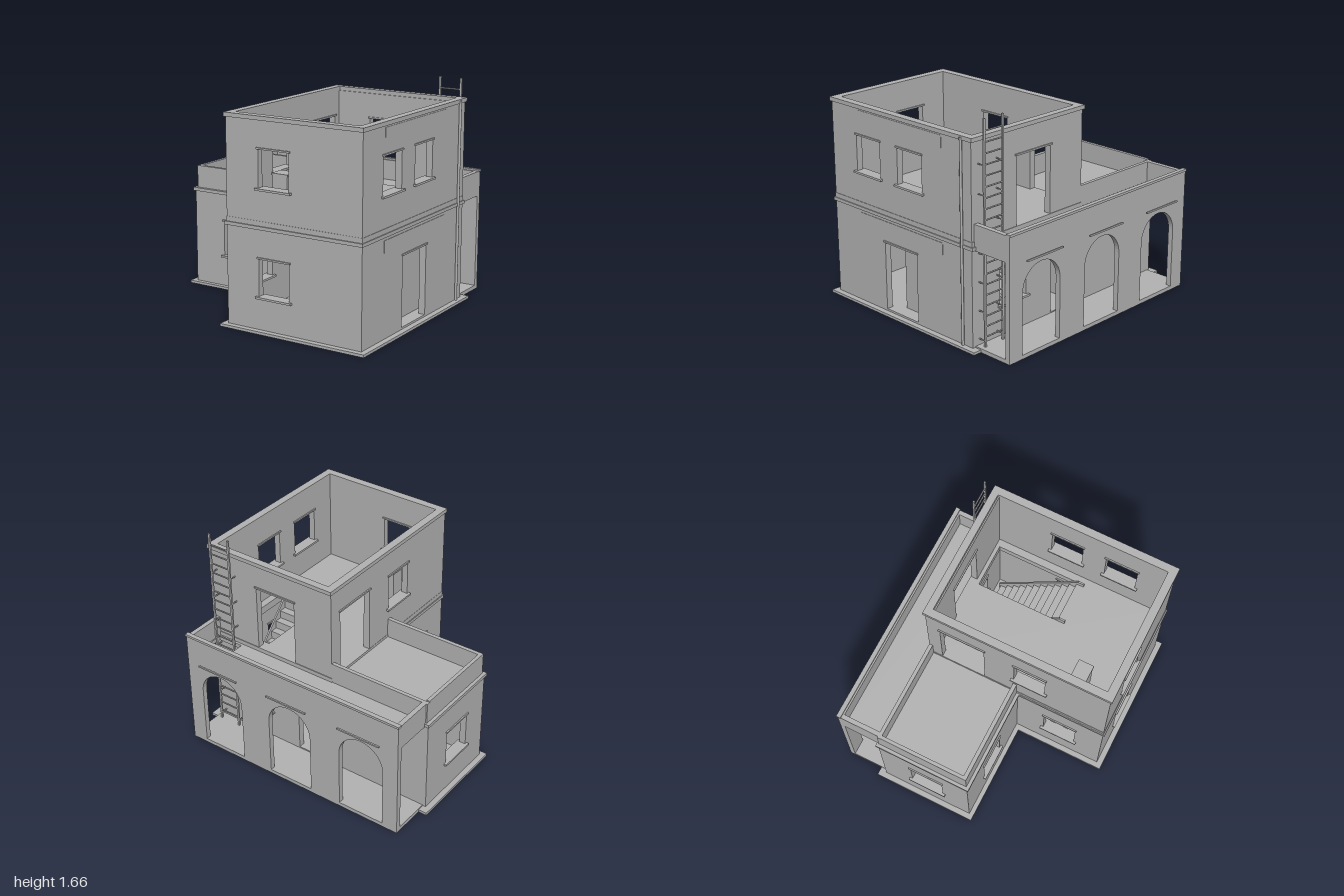
import * as THREE from 'three';

export function createModel() {
  const model = new THREE.Group();
  model.name = 'house';
  const plaster = new THREE.MeshStandardMaterial({ color: 0xb2b2b2 });
  plaster.name = 'grey plaster';

  const add = (name, geo, parent = model) => {
    const m = new THREE.Mesh(geo, plaster);
    m.name = name;
    parent.add(m);
    return m;
  };
  const box = (name, x0, x1, y0, y1, z0, z1) =>
    add(name, new THREE.BoxGeometry(x1 - x0, y1 - y0, z1 - z0)
      .translate((x0 + x1) / 2, (y0 + y1) / 2, (z0 + z1) / 2));
  const rod = (name, r, h, x, y, z, turn) => {
    const g = new THREE.CylinderGeometry(r, r, h, 8);
    if (turn === 'x') g.rotateZ(Math.PI / 2);
    if (turn === 'z') g.rotateX(Math.PI / 2);
    return add(name, g.translate(x, y, z));
  };
  const path = (P, pts) => new P(pts.map(p => new THREE.Vector2(...p)));
  const rect = (P, a, b, c, d) => path(P, [[a, c], [b, c], [b, d], [a, d]]);
  const extrude = (shape, depth) =>
    new THREE.ExtrudeGeometry(shape, { depth, bevelEnabled: false, curveSegments: 12 });

  // Horizontal plate from an outline in x and z, with rectangular holes
  const slab = (name, pts, y0, y1, holes = []) => {
    const s = path(THREE.Shape, pts);
    holes.forEach(h => s.holes.push(rect(THREE.Path, ...h)));
    return add(name, extrude(s, y1 - y0).rotateX(Math.PI / 2).translate(0, y1, 0));
  };
  const corners = (x0, x1, z0, z1) => [[x0, z0], [x1, z0], [x1, z1], [x0, z1]];

  // Upright wall along x or z; openings are [from, to, bottom, top, hasSill]
  const T = 0.05;
  const wall = (name, axis, u0, u1, y0, y1, p, openings = []) => {
    const s = rect(THREE.Shape, u0, u1, y0, y1);
    const trim = (part, a, b, c, d, out) => axis === 'x'
      ? box(part, a, b, c, d, p - out, p + T + out)
      : box(part, p - out, p + T + out, c, d, a, b);
    openings.forEach(([a, b, c, d, sill]) => {
      s.holes.push(rect(THREE.Path, a, b, c, d));
      trim('lintel', a - 0.012, b + 0.012, d, d + 0.012, 0.01);
      if (sill) trim('windowSill', a - 0.022, b + 0.022, c - 0.015, c, 0.02);
    });
    const g = extrude(s, T);
    if (axis === 'x') g.translate(0, 0, p);
    else g.rotateY(-Math.PI / 2).translate(p + T, 0, 0);
    return add(name, g);
  };
  const low = (a, b) => [a, b, 0.26, 0.53, true];
  const high = (a, b) => [a, b, 1.03, 1.3, true];
  const lowDoor = (a, b) => [a, b, 0.035, 0.555, false];
  const highDoor = (a, b) => [a, b, 0.8, 1.31, false];

  // Foundation and ground floor
  slab('foundation', [[-1, -0.61], [1, -0.61], [1, 0.92], [-0.18, 0.92], [-0.18, 0.21], [-1, 0.21]], 0, 0.02);
  box('verandaFloor', -0.935, 0.935, 0, 0.03, -0.885, -0.56);
  box('towerGroundFloor', -0.13, 0.95, 0.02, 0.035, -0.55, 0.87);
  box('wingGroundFloor', -0.95, -0.13, 0.02, 0.035, -0.55, 0.17);

  // Tower walls, both storeys
  const L = -0.138, R = 0.957, B = -0.555, F = 0.877;
  const stairHole = [0.5, 0.85, -0.475, 0.245];
  wall('towerLowerFront', 'x', L, R, 0.02, 0.74, F - T, [low(0.13, 0.38)]);
  wall('towerLowerBack', 'x', L, R, 0.02, 0.74, B, [lowDoor(-0.18 + T + 0.045, 0.175), low(0.43, 0.69)]);
  wall('towerLowerRight', 'z', B + T, F - T, 0.02, 0.74, R - T, [lowDoor(0, 0.335)]);
  wall('towerLowerLeft', 'z', B + T, F - T, 0.02, 0.74, L, [low(0.4, 0.66)]);
  wall('towerUpperFront', 'x', L, R, 0.79, 1.5, F - T, [high(0.13, 0.38)]);
  wall('towerUpperBack', 'x', L, R, 0.79, 1.5, B, [highDoor(0.19, 0.53)]);
  wall('towerUpperRight', 'z', B + T, F - T, 0.79, 1.5, R - T, [high(-0.07, 0.18), high(0.365, 0.615)]);
  wall('towerUpperLeft', 'z', B + T, F - T, 0.79, 1.5, L, [highDoor(-0.45, -0.1), high(0.14, 0.385)]);
  slab('storeyBand', corners(-0.148, 0.967, -0.57, 0.89), 0.74, 0.765, [stairHole]);
  slab('upperFloor', corners(-0.14, 0.96, -0.56, 0.88), 0.765, 0.8, [stairHole]);
  slab('cornice', corners(-0.148, 0.967, -0.57, 0.89), 1.5, 1.53, [[L + T, R - T, B + T - 0.01, F - T]]);

  // Shallow panels above the right-hand openings
  for (const y of [0.63, 1.4]) box('signPanel', R - 0.002, R + 0.003, y, y + 0.088, -0.27, 0.595);

  // Side wing with roof terrace
  wall('wingFront', 'x', -0.957, L, 0.02, 0.74, 0.125, [low(-0.69, -0.44)]);
  wall('wingBack', 'x', -0.957, L, 0.02, 0.74, B);
  wall('wingSide', 'z', B + T, 0.125, 0.02, 0.74, -0.957, [low(-0.305, -0.045)]);
  box('wingBand', -0.97, -0.14, 0.74, 0.765, -0.57, 0.19);
  box('terraceFloor', -0.93, -0.13, 0.765, 0.78, -0.54, 0.15);
  box('terraceParapetFront', -0.945, L, 0.765, 0.935, 0.135, 0.165);
  box('terraceParapetBack', -0.945, L, 0.765, 0.925, -0.555, -0.527);
  box('terraceParapetSide', -0.945, -0.918, 0.765, 0.935, -0.527, 0.135);

  // Veranda: wall with three round arches, roof and parapet
  const arcade = rect(THREE.Shape, -0.935, 0.935, 0, 0.925);
  const half = 0.185, spring = 0.485;
  for (const cx of [-0.625, 0, 0.625]) {
    const arch = new THREE.Path();
    arch.moveTo(cx - half, 0.03);
    arch.lineTo(cx + half, 0.03);
    arch.lineTo(cx + half, spring);
    arch.absarc(cx, spring, half, 0, Math.PI, false);
    arch.lineTo(cx - half, 0.03);
    arcade.holes.push(arch);
    box('archStrip', cx - 0.177, cx + 0.177, 0.72, 0.732, -0.924, -0.912);
  }
  add('arcadeWall', extrude(arcade, 0.04).translate(0, 0, -0.885));
  slab('verandaRoof', corners(-0.935, 0.935, -0.85, -0.55), 0.735, 0.768, [[0.68, 0.89, -0.75, -0.58]]);
  box('verandaCap', -0.94, 0.94, 0.92, 0.938, -0.892, -0.858);
  for (const s of [-1, 1]) {
    const x = s * 0.917;
    box('verandaParapetSide', x - 0.018, x + 0.018, 0.735, 0.925, -0.85, -0.555);
  }

  // Staircase rising toward the front, with solid side stringers
  const steps = 12, z0 = -0.46, run = 0.705 / steps, rise = 0.765 / steps;
  for (let i = 0; i < steps; i++)
    box('stairStep', 0.515, 0.837, 0.035, 0.035 + rise * (i + 1), z0 + run * i, z0 + run * (i + 1));
  for (const x of [0.502, 0.835]) {
    const side = path(THREE.Shape, [[-0.475, 0.035], [0.245, 0.035], [0.245, 0.84], [0.2, 0.84], [-0.475, 0.12]]);
    add('stairStringer', extrude(side, 0.014).rotateY(-Math.PI / 2).translate(x + 0.014, 0, 0));
  }

  // Ladder through the veranda roof hatch
  for (const x of [0.722, 0.893]) {
    box('ladderRail', x - 0.008, x + 0.008, 0.03, 1.66, -0.619, -0.606);
    for (let i = 0; i < 7; i++) rod('ladderBracket', 0.005, 0.06, x, 0.073 + i * 0.211, -0.585, 'z');
  }
  for (let y = 1.575; y > 0.06; y -= 0.0775) rod('ladderRung', 0.006, 0.17, 0.8075, y, -0.612, 'x');

  // Rain pipe on the right wall
  rod('rainPipe', 0.01, 1.5, 0.966, 0.77, -0.467);

  // Small cabinets inside the rooms
  for (const [x, y, z] of [[0.128, 0.8, 0.56], [-0.637, 0.035, -0.1]]) {
    box('cabinetBody', x - 0.06, x + 0.06, y, y + 0.265, z - 0.055, z + 0.055);
    box('cabinetTop', x - 0.068, x + 0.068, y + 0.265, y + 0.28, z - 0.06, z + 0.06);
  }
  return model;
}
